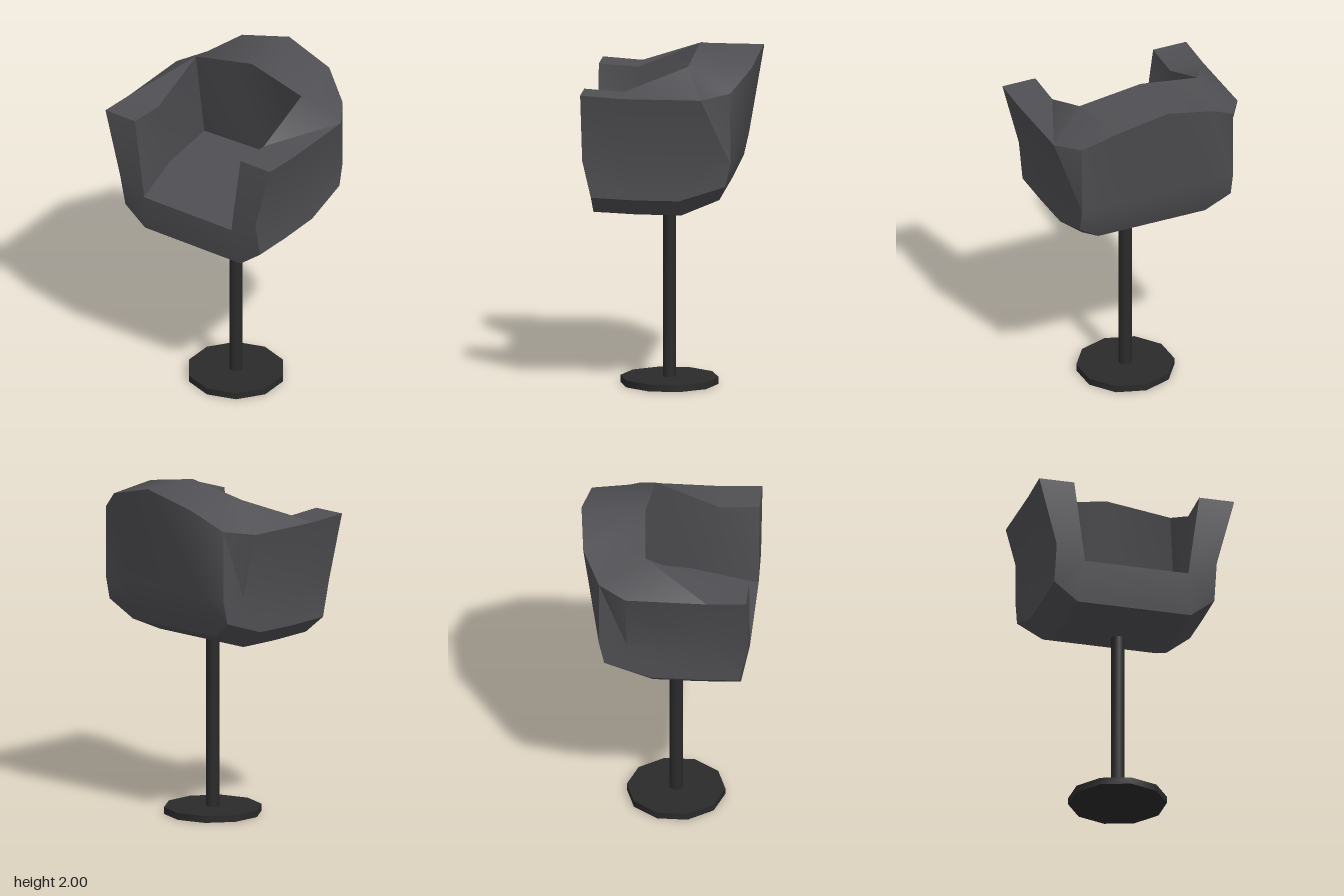
import * as THREE from 'three';
import { toCreasedNormals } from 'three/addons/utils/BufferGeometryUtils.js';

// Cross-sections of the +z half, from the arm tip round to the middle of the back.
// Each runs: floor, inner rim, outer rim, belt, lower side, underside.
const half = [
  [[-0.5, 1.3, 0.31], [-0.5, 1.79, 0.375], [-0.5, 1.79, 0.585], [-0.5, 1.385, 0.48], [-0.45, 1.17, 0.48], [-0.45, 1.06, 0.34]],
  [[-0.1, 1.3, 0.42], [-0.27, 1.775, 0.375], [-0.27, 1.775, 0.585], [-0.27, 1.385, 0.48], [-0.2, 1.16, 0.48], [-0.2, 1.05, 0.34]],
  [[0.3, 1.3, 0.46], [0.1, 1.93, 0.375], [0.2, 1.775, 0.585], [0.2, 1.385, 0.48], [0.06, 1.16, 0.48], [0.06, 1.05, 0.34]],
  [[0.3, 1.3, 0.46], [0.1, 1.93, 0.375], [0.36, 1.8, 0.48], [0.36, 1.385, 0.48], [0.33, 1.25, 0.48], [0.28, 1.145, 0.34]],
  [[0.31, 1.3, 0.24], [0.115, 1.965, 0.19], [0.465, 1.92, 0.31], [0.36, 1.385, 0.31], [0.33, 1.25, 0.31], [0.28, 1.145, 0.31]],
  [[0.32, 1.3, 0], [0.13, 2, 0], [0.5, 2, 0], [0.36, 1.385, 0], [0.33, 1.25, 0], [0.28, 1.145, 0]],
];

function shellGeometry() {
  const mirrored = half.slice(0, -1).reverse().map(s => s.map(([x, y, z]) => [x, y, -z]));
  const rings = [...half, ...mirrored];
  const last = rings.length - 1;
  const pos = [];
  const tri = (...pts) => {
    const [a, b, c] = pts.map(p => new THREE.Vector3(...p));
    if (b.clone().sub(a).cross(c.clone().sub(a)).length() > 1e-6) pos.push(...pts.flat());
  };
  const quad = (a, b, c, d) => { tri(a, b, c); tri(a, c, d); };

  // Inner wall, rim and outer wall
  for (let j = 0; j < last; j++) {
    for (let k = 0; k < 5; k++) {
      quad(rings[j][k], rings[j][k + 1], rings[j + 1][k + 1], rings[j + 1][k]);
    }
  }
  // Underside and seat floor, bridging the two halves
  for (let j = 0; j < half.length - 1; j++) {
    const l0 = rings[j], l1 = rings[j + 1], r0 = rings[last - j], r1 = rings[last - j - 1];
    quad(l0[5], r0[5], r1[5], l1[5]);
    quad(l0[0], l1[0], r1[0], r0[0]);
  }
  // Arm tips and front edge of the seat
  const l = rings[0], r = rings[last];
  quad(l[0], l[3], l[2], l[1]);
  quad(l[0], l[5], l[4], l[3]);
  quad(r[0], r[1], r[2], r[3]);
  quad(r[0], r[3], r[4], r[5]);
  quad(r[0], r[5], l[5], l[0]);

  const g = new THREE.BufferGeometry();
  g.setAttribute('position', new THREE.Float32BufferAttribute(pos, 3));
  return toCreasedNormals(g, THREE.MathUtils.degToRad(34));
}

export function createModel() {
  const model = new THREE.Group();
  model.name = 'tubChair';
  const fabric = new THREE.MeshStandardMaterial({ color: 0x505054 });
  const metal = new THREE.MeshStandardMaterial({ color: 0x2a2a2a });

  const shell = new THREE.Mesh(shellGeometry(), fabric);
  shell.name = 'seatShell';
  model.add(shell);

  // Ten-sided pedestal parts
  const disc = (name, radius, y0, y1) => {
    const g = new THREE.CylinderGeometry(radius, radius, y1 - y0, 10);
    g.rotateY(Math.PI / 2);
    const m = new THREE.Mesh(toCreasedNormals(g, Math.PI / 4), metal);
    m.name = name;
    m.position.set(-0.046, (y0 + y1) / 2, 0.015);
    model.add(m);
  };
  disc('pole', 0.039, 0.04, 1.06);
  disc('footPlate', 0.285, 0, 0.04);

  return model;
}
